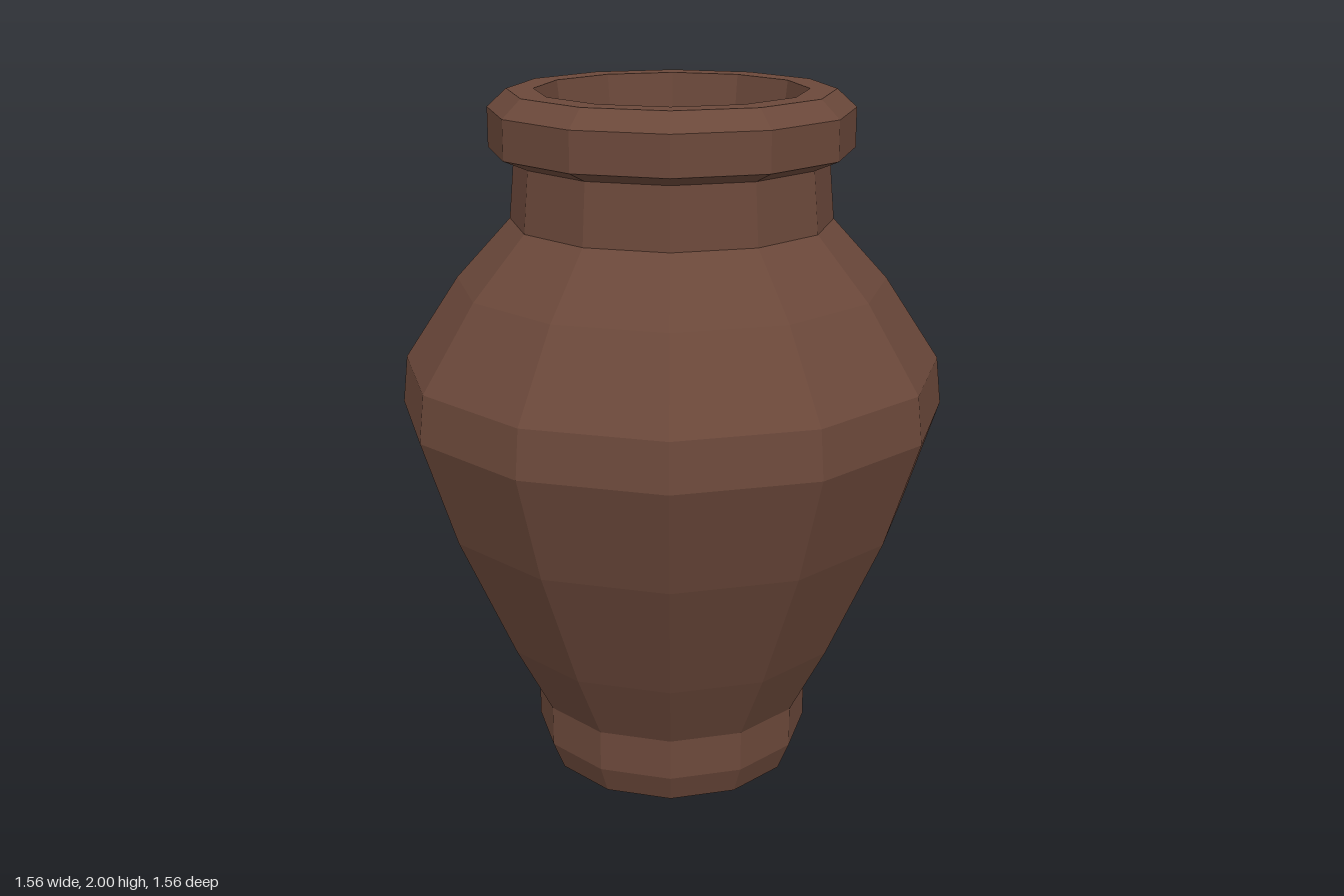
import * as THREE from 'three';

const SIDES = 12;

// Faceted ring of a profile given as [radius, height] pairs
function turned(name, profile, material) {
  const points = profile.map(([r, y]) => new THREE.Vector2(r, y));
  const geometry = new THREE.LatheGeometry(points, SIDES).toNonIndexed();
  geometry.computeVertexNormals();
  const mesh = new THREE.Mesh(geometry, material);
  mesh.name = name;
  return mesh;
}

export function createModel() {
  const clay = new THREE.MeshStandardMaterial({ color: 0x6b483a });
  clay.name = 'brown clay';
  const vase = new THREE.Group();
  vase.name = 'vase';

  // Flat underside and short foot
  vase.add(turned('foot', [[0, 0.005], [0.37, 0.005], [0.405, 0.09], [0.405, 0.21]], clay));

  // Swelling belly and shoulder
  vase.add(turned('body', [
    [0.405, 0.21], [0.515, 0.42], [0.68, 0.79], [0.78, 1.1],
    [0.765, 1.235], [0.61, 1.47], [0.455, 1.64],
  ], clay));

  vase.add(turned('neck', [[0.455, 1.64], [0.44, 1.815]], clay));

  // Bevelled collar around the mouth
  vase.add(turned('rim', [
    [0.44, 1.81], [0.51, 1.84], [0.51, 1.95], [0.455, 2], [0.38, 2],
  ], clay));

  // Hollow inside, running from the mouth down to the floor
  vase.add(turned('interior', [
    [0.38, 2], [0.36, 1.84], [0.32, 1.64], [0.5, 1.45], [0.67, 1.22],
    [0.69, 1.1], [0.59, 0.79], [0.43, 0.42], [0.33, 0.2], [0, 0.2],
  ], clay));

  return vase;
}
